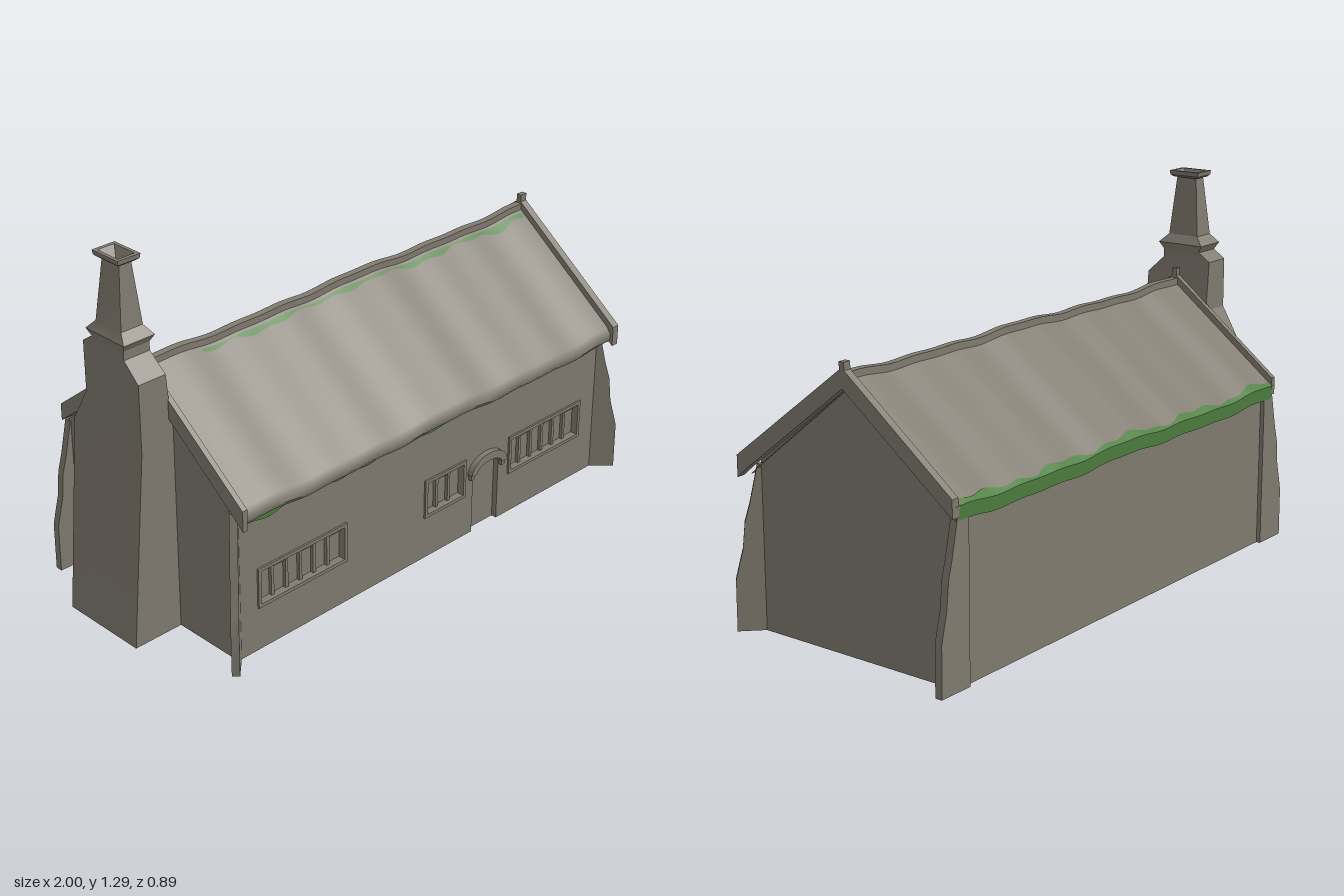
import * as THREE from 'three';
import { toCreasedNormals } from 'three/addons/utils/BufferGeometryUtils.js';

const stone = new THREE.MeshStandardMaterial({ color: 0x817b70 });
stone.name = 'stone';
const moss = new THREE.MeshStandardMaterial({ color: 0x4f8040, side: THREE.DoubleSide });
moss.name = 'moss';

const RIDGE_Z = -0.02;
const roofTop = z => 0.892 - 0.77 * Math.abs(z - RIDGE_Z);
const sag = x => 0.004 * Math.sin(x * 7 + 1) + 0.003 * Math.sin(x * 15) + 0.002 * Math.sin(x * 29 + 2);
const ragged = x => 0.5 + 0.28 * Math.sin(x * 17 + 1) + 0.22 * Math.sin(x * 43);

function add(group, name, geometry, material = stone) {
  const mesh = new THREE.Mesh(geometry, material);
  mesh.name = name;
  group.add(mesh);
  return mesh;
}

function box(group, name, x0, x1, y0, y1, z0, z1) {
  const g = new THREE.BoxGeometry(x1 - x0, y1 - y0, z1 - z0);
  add(group, name, g.translate((x0 + x1) / 2, (y0 + y1) / 2, (z0 + z1) / 2));
}

// Skin a series of equal-length rings of [x, y, z]
function loft(rings, closed = true, crease = 0.7) {
  const n = rings[0].length, idx = [];
  for (let i = 0; i < rings.length - 1; i++) {
    for (let j = 0; j < (closed ? n : n - 1); j++) {
      const a = i * n + j, b = i * n + (j + 1) % n;
      idx.push(a, b, b + n, a, b + n, a + n);
    }
  }
  const g = new THREE.BufferGeometry();
  g.setAttribute('position', new THREE.Float32BufferAttribute(rings.flat(2), 3));
  g.setIndex(idx);
  return toCreasedNormals(g, crease);
}

// Horizontal rectangle ring at height y
const rect = (y, x0, x1, z0, z1) => [[x0, y, z1], [x1, y, z1], [x1, y, z0], [x0, y, z0]];

// Sweep a [z, y] section, given as a function of x, along x
function sweep(x0, x1, steps, section, closed) {
  const rings = [];
  for (let i = 0; i <= steps; i++) {
    const x = x0 + (x1 - x0) * i / steps;
    rings.push(section(x).map(([z, y]) => [x, y, z]));
  }
  return loft(rings, closed);
}

// Solid [z, y] outline between two x positions
function prism(points, x0, x1) {
  const shape = new THREE.Shape(points.map(([z, y]) => new THREE.Vector2(-z, y)));
  const g = new THREE.ExtrudeGeometry(shape, { depth: x1 - x0, bevelEnabled: false });
  return g.rotateY(Math.PI / 2).translate(x0, 0, 0);
}

export function createModel() {
  const model = new THREE.Group();
  model.name = 'cottage';

  // House body with gables
  add(model, 'body', prism([[0.36, 0], [-0.425, 0], [-0.425, 0.545], [RIDGE_Z, 0.865], [0.36, 0.57]], -0.815, 0.915));

  // Front wall with door and window openings
  const windows = [[-0.73, -0.345, 6], [0.02, 0.22, 3], [0.44, 0.82, 6]];
  const wall = new THREE.Shape();
  wall.moveTo(-0.815, 0).lineTo(0.262, 0).lineTo(0.262, 0.235);
  wall.quadraticCurveTo(0.325, 0.275, 0.39, 0.235);
  wall.lineTo(0.39, 0).lineTo(0.915, 0).lineTo(0.915, 0.55).lineTo(-0.815, 0.55).closePath();
  for (const [x0, x1] of windows) {
    const hole = new THREE.Path();
    hole.moveTo(x0 + 0.012, 0.17).lineTo(x0 + 0.012, 0.29).lineTo(x1 - 0.012, 0.29).lineTo(x1 - 0.012, 0.17).closePath();
    wall.holes.push(hole);
  }
  add(model, 'frontWall', new THREE.ExtrudeGeometry(wall, { depth: 0.02, bevelEnabled: false }).translate(0, 0, 0.36));

  // Window frames, mullions and transoms
  for (const [x0, x1, panes] of windows) {
    const win = new THREE.Group();
    win.name = 'window';
    model.add(win);
    for (const y of [0.158, 0.29]) box(win, 'windowRail', x0, x1, y, y + 0.012, 0.375, 0.387);
    for (const x of [x0, x1 - 0.012]) box(win, 'windowJamb', x, x + 0.012, 0.17, 0.29, 0.375, 0.387);
    const w = (x1 - x0 - 0.024) / panes;
    for (let i = 0; i < panes; i++) {
      const x = x0 + 0.012 + i * w;
      if (i) box(win, 'mullion', x - 0.006, x + 0.006, 0.17, 0.29, 0.358, 0.372);
      if (i % 2) box(win, 'transom', x, x + w, 0.27, 0.28, 0.358, 0.368);
    }
  }

  // Arched door hood on small brackets
  const hood = new THREE.Shape();
  hood.moveTo(0.415, 0.235);
  hood.absellipse(0.325, 0.235, 0.09, 0.06, 0, Math.PI, false);
  hood.lineTo(0.262, 0.235);
  hood.absellipse(0.325, 0.235, 0.063, 0.03, Math.PI, 0, true);
  add(model, 'doorHood', new THREE.ExtrudeGeometry(hood, { depth: 0.025, bevelEnabled: false, curveSegments: 16 }).translate(0, 0, 0.375));
  for (const x of [0.248, 0.402]) box(model, 'hoodBracket', x - 0.008, x + 0.008, 0.215, 0.237, 0.375, 0.393);

  // Sagging roof with a rolled front eave
  const roofSection = [[-0.437, 0.525], [-0.441, 0.568], [RIDGE_Z, 0.892], [0.385, 0.58], [0.41, 0.559],
    [0.423, 0.54], [0.425, 0.522], [0.415, 0.507], [0.39, 0.512], [0.35, 0.55], [RIDGE_Z, 0.85], [-0.4, 0.545]];
  add(model, 'roof', sweep(-0.82, 0.93, 70, x => roofSection.map(([z, y]) => [z, y + sag(x)])));
  const ridge = [[-0.034, 0.87], [-0.034, 0.905], [-0.008, 0.905], [-0.008, 0.87]];
  add(model, 'ridgeCap', sweep(-0.82, 0.93, 70, x => ridge.map(([z, y]) => [z, y + sag(x)])));

  // Gable copings with a knob at the apex
  const coping = [[0.435, 0.575], [0.435, 0.502], [0.39, 0.54], [RIDGE_Z, 0.86], [-0.44, 0.54], [-0.44, 0.6], [RIDGE_Z, 0.925]];
  for (const [x0, x1] of [[-0.831, -0.812], [0.917, 0.945]]) {
    add(model, 'gableCoping', prism(coping, x0, x1));
    box(model, 'apexKnob', x0, x1, 0.9, 0.943, RIDGE_Z - 0.01, RIDGE_Z + 0.01);
  }

  // Corner buttresses: diagonal at the front, in line with the wall at the back
  const buttressProfile = [[0, 0.09], [0.17, 0.089], [0.22, 0.077], [0.27, 0.064], [0.36, 0.055], [0.42, 0.038], [0.54, 0.012]];
  const buttressRings = [[0, 0], ...buttressProfile, [0.54, 0]].map(([y, d], i, all) =>
    i === 0 || i === all.length - 1 ? rect(y, 0, 0, 0, 0) : rect(y, -0.04, d, -0.013, 0.013));
  const buttress = loft(buttressRings);
  for (const [x, z, turn] of [[0.908, 0.37, -Math.PI / 4], [-0.81, 0.37, -Math.PI * 0.75], [0.91, -0.427, 0], [-0.805, -0.427, Math.PI]]) {
    const mesh = add(model, 'cornerButtress', buttress);
    mesh.position.set(x, 0, z);
    mesh.rotation.y = turn;
  }

  // Chimney: battered base, stepped shoulders, collar, tapered stack, hollow cap
  add(model, 'chimney', loft([
    rect(0, -0.9, -0.9, -0.06, -0.06),
    rect(0, -1, -0.81, -0.22, 0.105),
    rect(0.68, -0.94, -0.81, -0.22, 0.108),
    rect(0.8, -0.94, -0.825, -0.15, 0.108),
    rect(0.915, -0.94, -0.835, -0.15, 0.108),
    rect(0.975, -0.94, -0.84, -0.15, 0.045),
    rect(1.005, -0.94, -0.84, -0.105, 0.045),
    rect(1.03, -0.95, -0.83, -0.12, 0.06),
    rect(1.06, -0.933, -0.85, -0.09, 0.03),
    rect(1.265, -0.912, -0.866, -0.07, 0.01),
    rect(1.268, -0.922, -0.856, -0.08, 0.02),
    rect(1.275, -0.93, -0.848, -0.088, 0.028),
    rect(1.29, -0.932, -0.846, -0.09, 0.03),
    rect(1.29, -0.92, -0.858, -0.077, 0.017),
    rect(1.23, -0.889, -0.889, -0.03, -0.03),
  ], true, 0.5));

  // Ragged moss on the ridge, the front eave and the back eave
  add(model, 'ridgeMoss', sweep(-0.6, 0.91, 120, x => [0.002, 0.004 + 0.026 * ragged(x) * (0.6 + 0.5 * Math.abs(x))]
    .map(z => [z, roofTop(z) + 0.003 + sag(x)]), false), moss);
  add(model, 'frontEaveMoss', sweep(-0.8, 0.36, 100, x => [[0.4, 0.52],
    [0.398, 0.503 - 0.02 * ragged(x) * Math.min(1, (0.42 - x) * 1.6)]], false), moss);
  add(model, 'backEaveMoss', sweep(-0.81, 0.915, 120, x => {
    const z = -0.437 + 0.022 * ragged(x);
    return [[-0.44, 0.523 + sag(x)], [-0.444, 0.57 + sag(x)], [z, roofTop(z) + 0.003 + sag(x)]];
  }, false), moss);

  return model;
}
